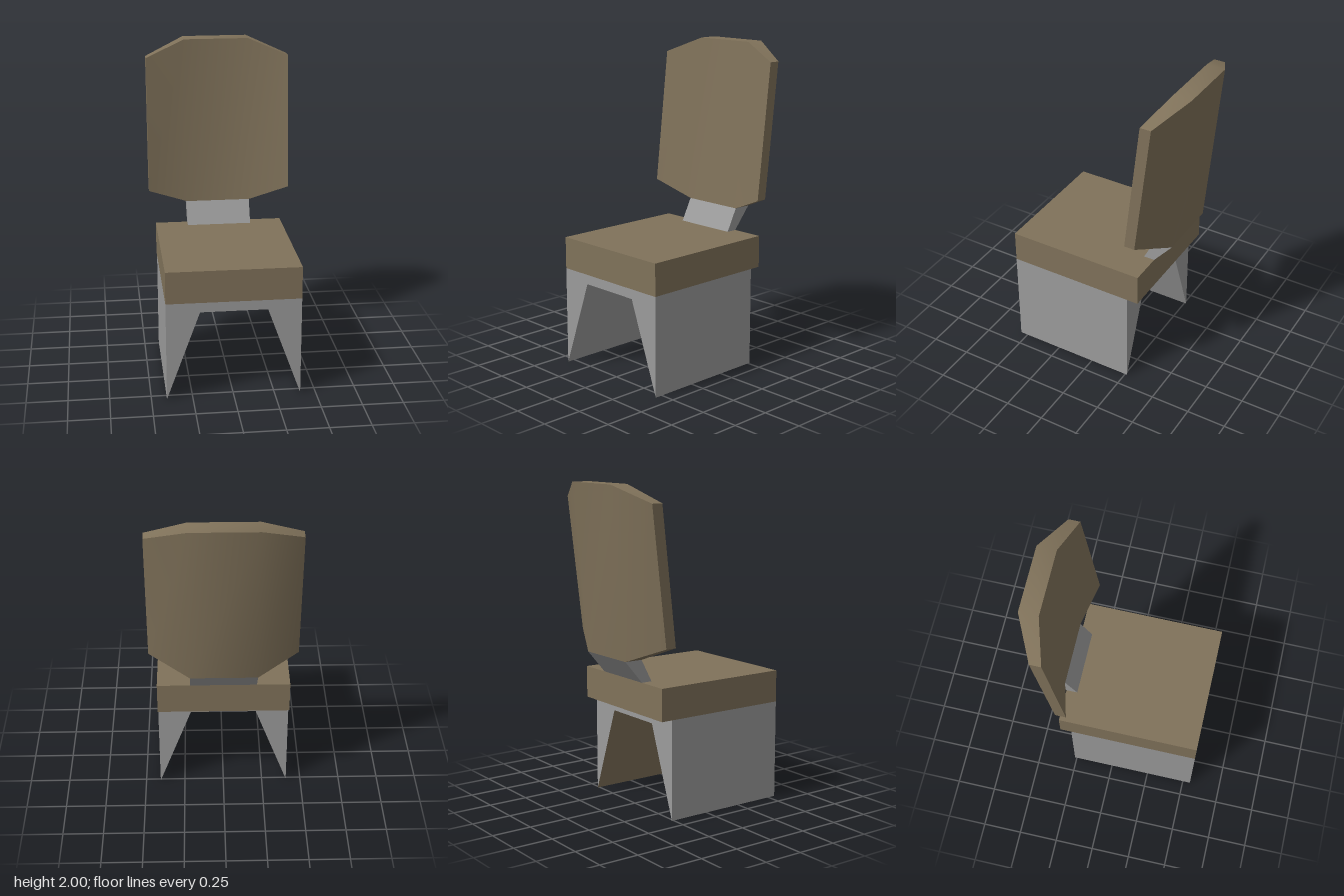
import * as THREE from 'three';
import { toCreasedNormals } from 'three/addons/utils/BufferGeometryUtils.js';

const grey = new THREE.MeshStandardMaterial({ color: 0x9b9b9b });
const brown = new THREE.MeshStandardMaterial({ color: 0x80725a });

// Solid from four-cornered cross-sections running from -x to +x.
// Corners [y, z] go: front bottom, front top, back top, back bottom.
function loft(sections, crease) {
  const pos = [];
  const quad = (a, b, c, d) => [a, b, c, a, c, d].forEach(p => pos.push(...p));
  const rings = sections.map(([x, corners]) => corners.map(([y, z]) => [x, y, z]));
  for (let i = 0; i < rings.length - 1; i++) {
    const p = rings[i], q = rings[i + 1];
    for (let k = 0; k < 4; k++) {
      const n = (k + 1) % 4;
      quad(p[k], q[k], q[n], p[n]);
    }
  }
  const s = rings[0], e = rings[rings.length - 1];
  quad(s[0], s[1], s[2], s[3]);
  quad(e[0], e[3], e[2], e[1]);
  const geo = new THREE.BufferGeometry();
  geo.setAttribute('position', new THREE.Float32BufferAttribute(pos, 3));
  return toCreasedNormals(geo, crease);
}

// Base block with a tapered tunnel cut through it, leaving two wedge legs
function baseGeometry() {
  const outline = [[-0.407, 0], [-0.203, 0.56], [0.203, 0.56], [0.407, 0], [0.407, 0.62], [-0.407, 0.62]];
  const shape = new THREE.Shape(outline.map(([x, y]) => new THREE.Vector2(x, y)));
  const geo = new THREE.ExtrudeGeometry(shape, { depth: 0.813, bevelEnabled: false });
  geo.translate(0, 0, -0.263);
  // The inner slope of the +x leg takes the second material
  geo.clearGroups();
  const normal = geo.attributes.normal;
  for (let i = 0; i < normal.count; i += 3) {
    const sloped = normal.getX(i) < -0.5 && normal.getY(i) < -0.1;
    geo.addGroup(i, 3, sloped ? 1 : 0);
  }
  return geo;
}

export function createModel() {
  const group = new THREE.Group();
  const add = (name, geo, material) => {
    const mesh = new THREE.Mesh(geo, material);
    mesh.name = name;
    group.add(mesh);
  };

  add('legs', baseGeometry(), [grey, brown]);

  const seat = new THREE.BoxGeometry(0.814, 0.2, 0.885);
  seat.translate(0, 0.72, 0.1075);
  add('seat', seat, brown);

  // Slanted bracket between seat and backrest
  const bracket = [[0.82, -0.265], [0.96, -0.337], [0.96, -0.453], [0.82, -0.335]];
  add('backBracket', loft([[-0.203, bracket], [0.203, bracket]], 0.3), grey);

  // Backrest: leaning panel, wrapped forward and clipped at the sides
  const middle = [[0.96, -0.337], [2, -0.433], [2, -0.55], [0.96, -0.453]];
  const edge = [[1.06, -0.267], [1.9, -0.363], [1.9, -0.433], [1.06, -0.335]];
  add('backrest', loft([[-0.45, edge], [-0.203, middle], [0.203, middle], [0.45, edge]], 0.6), brown);

  return group;
}
